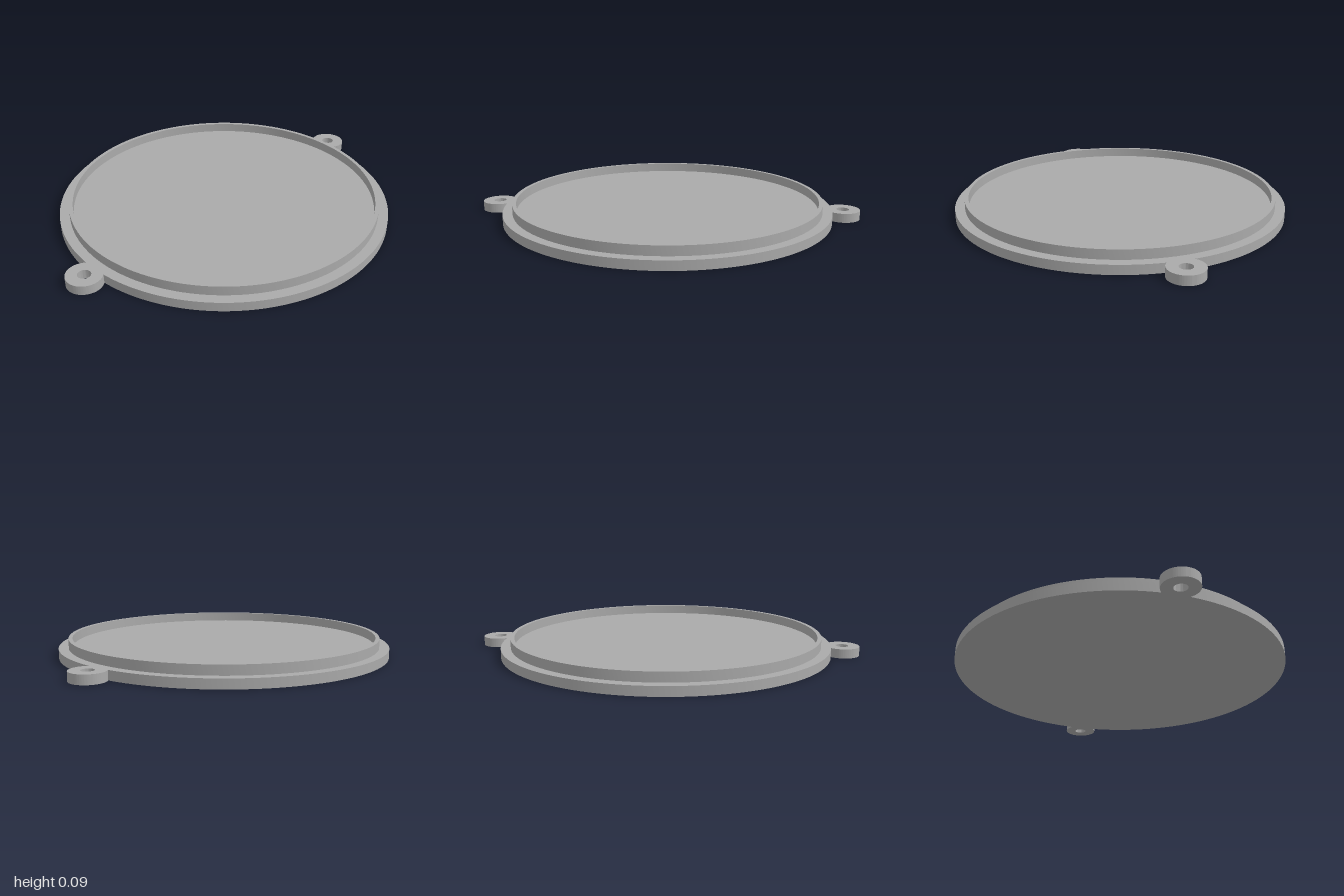
import * as THREE from 'three';
import { toCreasedNormals } from 'three/addons/utils/BufferGeometryUtils.js';

const R = 0.855;          // flange radius
const T = 0.047;          // flange thickness
const LUG_X = 0.912, LUG_R = 0.088, HOLE_R = 0.032;
const RIM_OUT = 0.805, RIM_IN = 0.785, RIM_TOP = 0.095;

export function createModel() {
  const model = new THREE.Group();
  model.name = 'roundCover';
  const grey = new THREE.MeshStandardMaterial({ color: 0xaaaaaa });
  grey.name = 'grey';

  // Flange outline: disc and two screw lugs as one continuous contour
  const ix = (R * R - LUG_R * LUG_R + LUG_X * LUG_X) / (2 * LUG_X);
  const iy = Math.sqrt(R * R - ix * ix);
  const a = Math.atan2(iy, ix);             // meeting point seen from the disc centre
  const b = Math.atan2(iy, ix - LUG_X);     // meeting point seen from the lug centre
  const outline = new THREE.Shape();
  outline.absarc(0, 0, R, a, Math.PI - a, false);
  outline.absarc(-LUG_X, 0, LUG_R, Math.PI - b, Math.PI + b, false);
  outline.absarc(0, 0, R, Math.PI + a, 2 * Math.PI - a, false);
  outline.absarc(LUG_X, 0, LUG_R, -b, b, false);

  // Screw holes
  for (const side of [-1, 1]) {
    const hole = new THREE.Path();
    hole.absarc(side * LUG_X, 0, HOLE_R, 0, Math.PI * 2, true);
    outline.holes.push(hole);
  }
  const flangeGeometry = new THREE.ExtrudeGeometry(outline, {
    depth: T, bevelEnabled: false, curveSegments: 64,
  });
  flangeGeometry.rotateX(-Math.PI / 2);
  const flange = new THREE.Mesh(toCreasedNormals(flangeGeometry, 0.6), grey);
  flange.name = 'flangeWithLugs';
  model.add(flange);

  // Thin raised rim standing on the flange
  const profile = [[RIM_OUT, T], [RIM_OUT, RIM_TOP], [RIM_IN, RIM_TOP], [RIM_IN, T]]
    .map(([x, y]) => new THREE.Vector2(x, y));
  const rim = new THREE.Mesh(toCreasedNormals(new THREE.LatheGeometry(profile, 128), 0.6), grey);
  rim.name = 'raisedRim';
  model.add(rim);

  return model;
}
